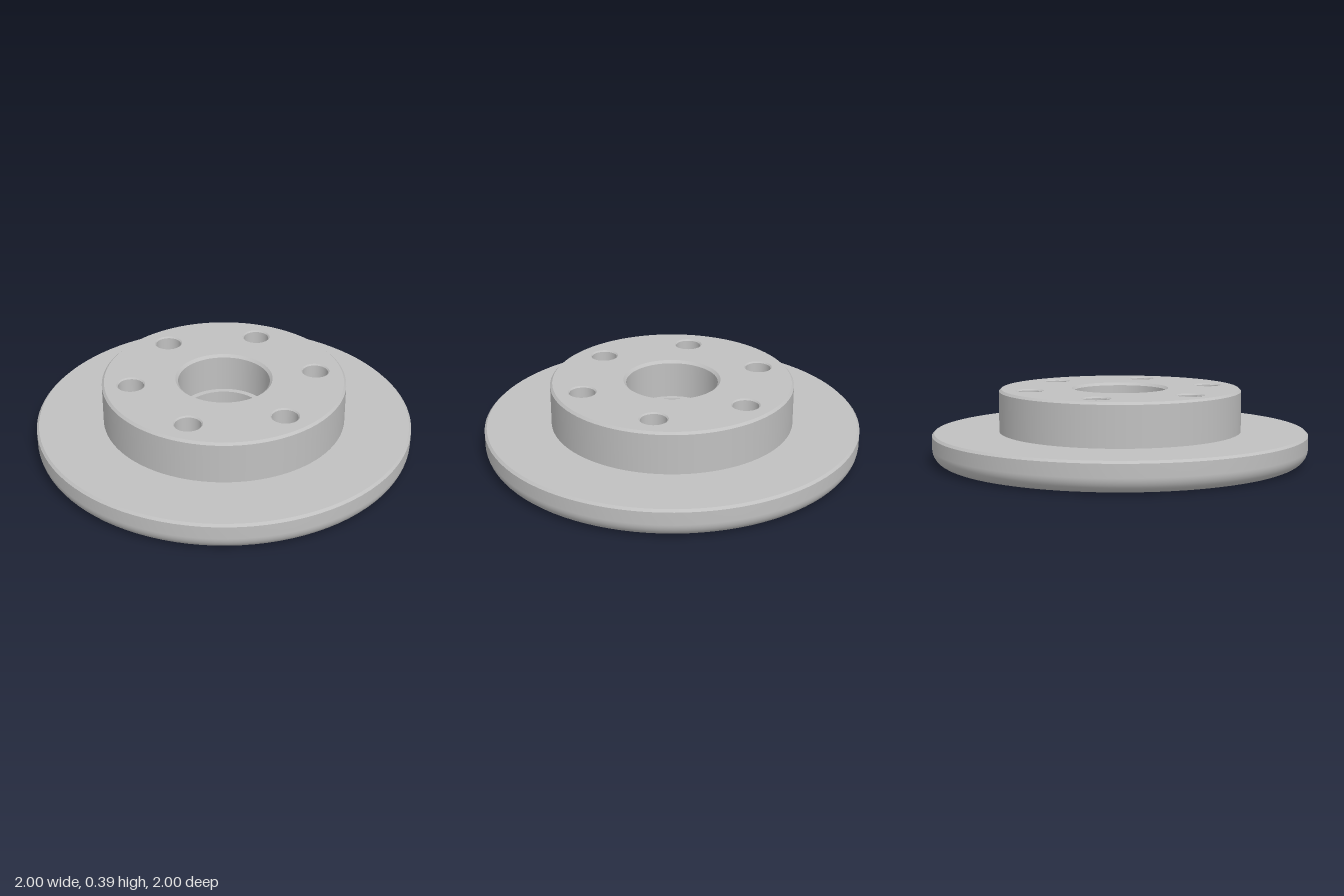
import * as THREE from 'three';
import { mergeGeometries } from 'three/addons/utils/BufferGeometryUtils.js';

const SEGMENTS = 96;
const HUB_TOP = 0.387;
const HOLE_COUNT = 6;
const HOLE_CIRCLE = 0.493;

// Revolve a list of sections; edges stay sharp between sections, smooth within one.
function revolve(sections, segments = SEGMENTS) {
  return mergeGeometries(sections.map((pts) =>
    new THREE.LatheGeometry(pts.map(([r, y]) => new THREE.Vector2(r, y)), segments)));
}

// Turn a polyline into separate straight sections.
function facets(pts) {
  return pts.slice(1).map((p, i) => [pts[i], p]);
}

function holeCentres() {
  return Array.from({ length: HOLE_COUNT }, (_, i) => {
    const a = (i / HOLE_COUNT) * Math.PI * 2;
    return [HOLE_CIRCLE * Math.cos(a), HOLE_CIRCLE * Math.sin(a)];
  });
}

// Flat disc pierced by the central bore and the bolt holes.
function piercedDisc(outer, bore, hole) {
  const shape = new THREE.Shape().absarc(0, 0, outer, 0, Math.PI * 2, false);
  for (const [x, y, r] of [[0, 0, bore], ...holeCentres().map(([x, y]) => [x, y, hole])]) {
    shape.holes.push(new THREE.Path().absarc(x, y, r, 0, Math.PI * 2, true));
  }
  return new THREE.ShapeGeometry(shape, SEGMENTS / 2);
}

export function createModel() {
  const model = new THREE.Group();
  model.name = 'flangedHub';
  const metal = new THREE.MeshStandardMaterial({ color: 0xc0c0c0 });
  metal.name = 'greyMetal';

  function add(name, geometry) {
    const mesh = new THREE.Mesh(geometry, metal);
    mesh.name = name;
    model.add(mesh);
    return mesh;
  }

  // Wide flange: large rounded lower edge, straight rim, small top chamfer
  const fillet = 0.08;
  const rim = [];
  for (let i = 0; i <= 10; i++) {
    const a = (i / 10) * Math.PI / 2;
    rim.push([1 - fillet + fillet * Math.sin(a), fillet - fillet * Math.cos(a)]);
  }
  rim.push([1, 0.148]);
  add('flange', revolve([rim, ...facets([[1, 0.148], [0.988, 0.16], [0.645, 0.16]])]));
  add('flangeUnderside', piercedDisc(1 - fillet, 0.222, 0.125).rotateX(Math.PI / 2));

  // Raised hub with a chamfered top edge
  add('hub', revolve(facets([[0.645, 0.16], [0.645, HUB_TOP - 0.012], [0.633, HUB_TOP]])));
  add('hubTop', piercedDisc(0.633, 0.257, 0.075).rotateX(-Math.PI / 2).translate(0, HUB_TOP, 0));

  // Stepped central bore
  add('centreBore', revolve(facets([
    [0.257, HUB_TOP], [0.243, HUB_TOP - 0.014], [0.243, 0.175],
    [0.213, 0.175], [0.213, 0.009], [0.222, 0],
  ])));

  // Bolt holes, counterbored from below
  const boltHole = revolve(facets([
    [0.075, HUB_TOP], [0.068, HUB_TOP - 0.007], [0.068, 0.125],
    [0.113, 0.125], [0.113, 0.012], [0.125, 0],
  ]));
  holeCentres().forEach(([x, z], i) => {
    add(`boltHole${i + 1}`, boltHole).position.set(x, 0, z);
  });

  return model;
}
